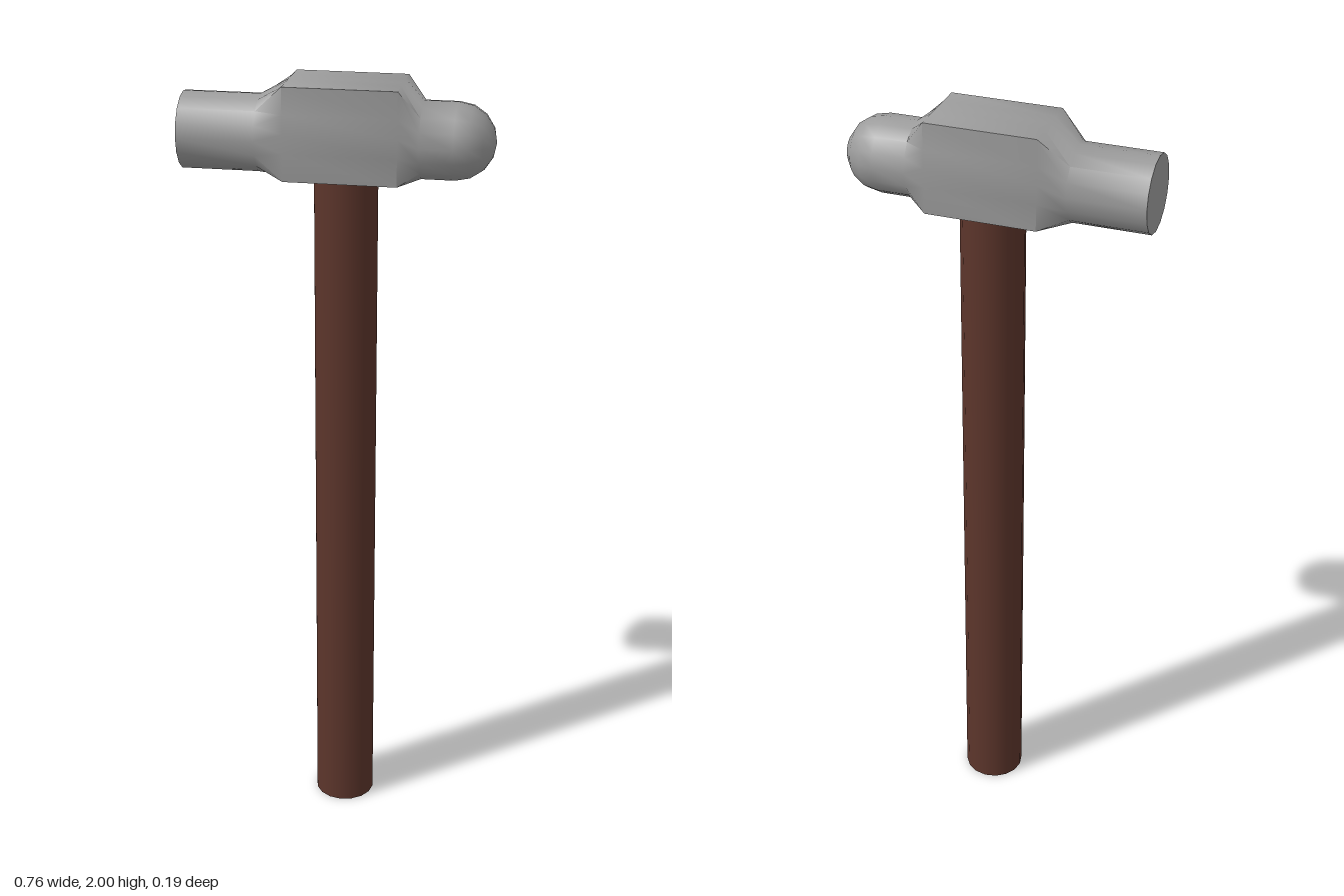
import * as THREE from 'three';
import { toCreasedNormals } from 'three/addons/utils/BufferGeometryUtils.js';

const SIDES = 16, RADIUS = 0.094, CENTRE_Y = 1.867;

// One cross-section of the head: a circle, or a rectangle for the middle block
function section(x, r, block) {
  const ring = [];
  for (let i = 0; i < SIDES; i++) {
    const a = (i / SIDES) * Math.PI * 2;
    let z = Math.cos(a), y = Math.sin(a);
    if (block) {
      const k = Math.max(Math.abs(z), Math.abs(y));
      ring.push([x, 1.8865 + (y / k) * 0.1135, (z / k) * RADIUS]);
    } else ring.push([x, CENTRE_Y + y * r, z * r]);
  }
  return ring;
}

// Skin a list of rings running along +x
function loft(rings) {
  const pos = rings.flat(2), idx = [];
  for (let j = 0; j < rings.length - 1; j++) {
    for (let i = 0; i < SIDES; i++) {
      const n = (i + 1) % SIDES;
      const a = j * SIDES + i, b = j * SIDES + n;
      const c = a + SIDES, d = b + SIDES;
      idx.push(a, c, b, b, c, d);
    }
  }
  const geo = new THREE.BufferGeometry();
  geo.setAttribute('position', new THREE.Float32BufferAttribute(pos, 3));
  geo.setIndex(idx);
  return toCreasedNormals(geo, 0.95);
}

export function createModel() {
  const steel = new THREE.MeshStandardMaterial({ color: 0x9c9c9c });
  steel.name = 'steel';
  const wood = new THREE.MeshStandardMaterial({ color: 0x5c352b });
  wood.name = 'dark wood';
  const model = new THREE.Group();
  model.name = 'hammer';

  // Head: striking face, barrel, block, neck, then the rounded peen
  const rings = [
    section(-0.38, 0),
    section(-0.38, RADIUS),
    section(-0.19, RADIUS),
    section(-0.12, RADIUS, true),
    section(0.155, RADIUS, true),
    section(0.205, RADIUS),
  ];
  for (let i = 0; i <= 4; i++) {
    const a = (i / 4) * Math.PI / 2;
    rings.push(section(0.286 + Math.sin(a) * RADIUS, Math.cos(a) * RADIUS));
  }
  const head = new THREE.Mesh(loft(rings), steel);
  head.name = 'head';
  model.add(head);

  // Handle, set slightly off centre
  const handle = new THREE.Mesh(new THREE.CylinderGeometry(0.079, 0.079, 1.8, 16), wood);
  handle.name = 'handle';
  handle.position.set(0.018, 0.9, 0);
  model.add(handle);

  return model;
}
